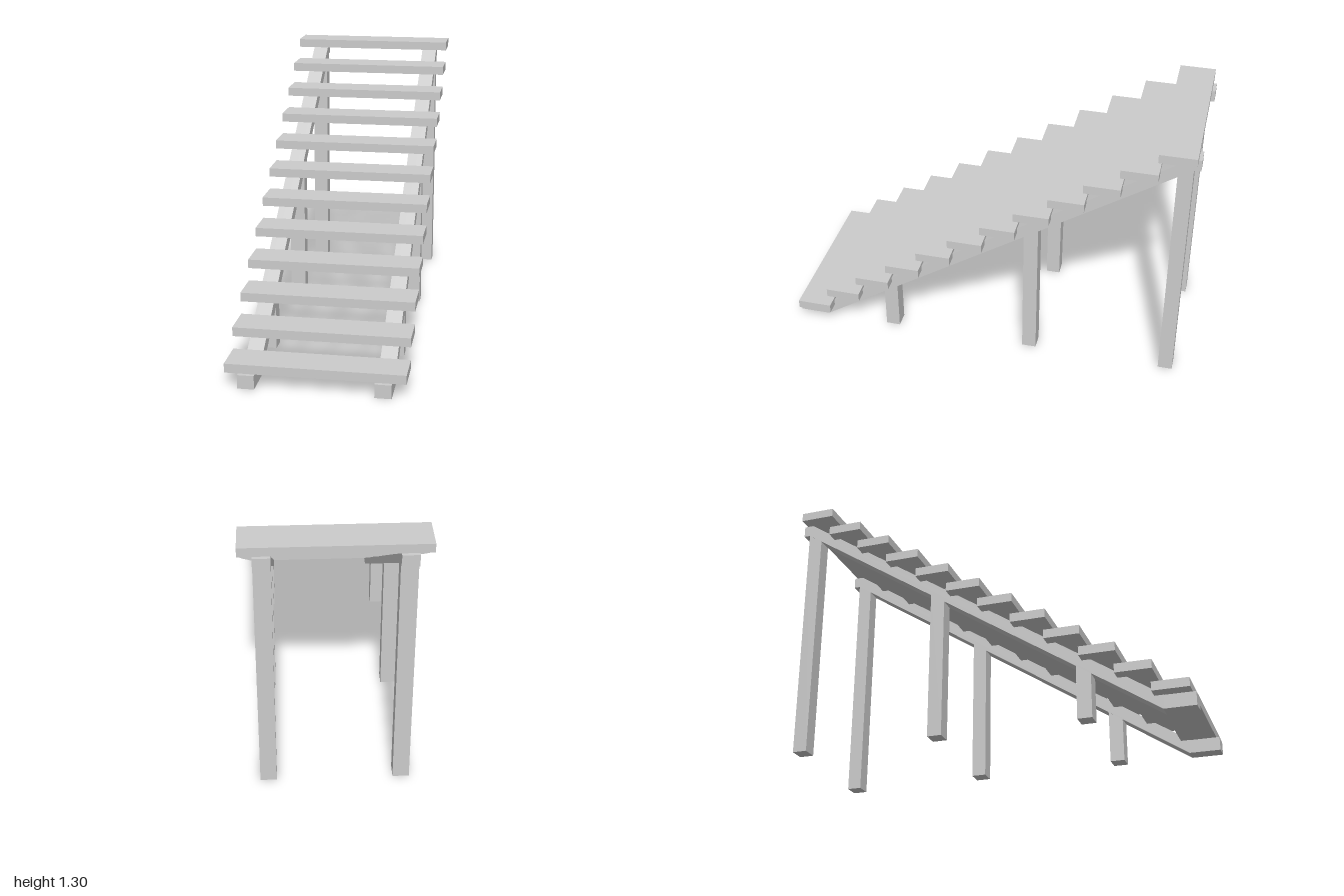
import * as THREE from 'three';

const material = new THREE.MeshStandardMaterial({ color: 0xcccccc, flatShading: true });
const SLOPE = 0.66;
const RAIL_X = 0.31, RAIL_W = 0.077;

// Height of the stringer's underside at depth z
const underside = (z) => (0.85 - z) * SLOPE;

// Extrude a (z, y) side profile across x, centred on x
function sidePlate(name, profile, x, width) {
  const shape = new THREE.Shape(profile.map(([z, y]) => new THREE.Vector2(-z, y)));
  const geometry = new THREE.ExtrudeGeometry(shape, { depth: width, bevelEnabled: false });
  geometry.translate(0, 0, -width / 2);
  geometry.rotateY(Math.PI / 2);
  const mesh = new THREE.Mesh(geometry, material);
  mesh.position.x = x;
  mesh.name = name;
  return mesh;
}

export function createModel() {
  const group = new THREE.Group();
  group.name = 'openStaircase';

  // Treads
  const treadGeometry = new THREE.BoxGeometry(0.824, 0.043, 0.172);
  for (let i = 0; i < 12; i++) {
    const tread = new THREE.Mesh(treadGeometry, material);
    tread.name = `tread${i + 1}`;
    tread.position.set(0, 0.0875 + i * 0.1083, 0.898 - i * 0.1633);
    group.add(tread);
  }

  for (const [side, s] of [['left', 1], ['right', -1]]) {
    // Sloping stringer with a flat foot and a flat top end
    group.add(sidePlate(`${side}Stringer`, [
      [1, 0], [0.85, 0], [-0.968, 1.2], [-1, 1.2],
      [-1, 1.257], [-0.953, 1.257], [0.857, 0.065], [1, 0.065],
    ], s * RAIL_X, RAIL_W));

    // Posts, cut to the slope of the stringer
    [0.492, -0.235, -0.933].forEach((z, i) => {
      const front = z + 0.035, back = z - 0.035;
      group.add(sidePlate(`${side}Post${i + 1}`, [
        [front, 0], [back, 0], [back, underside(back)], [front, underside(front)],
      ], s * RAIL_X, RAIL_W));
    });
  }
  return group;
}
